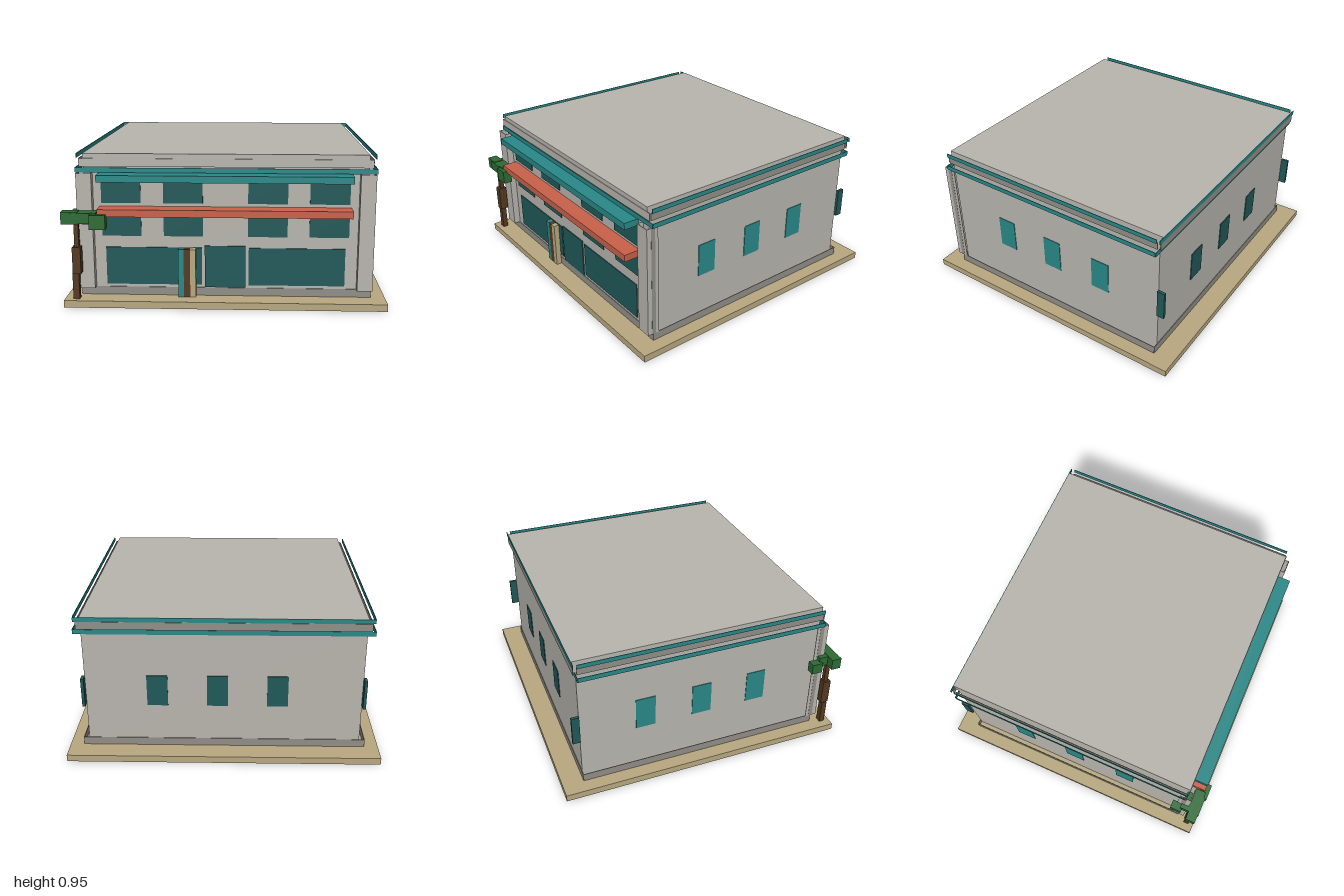
import * as THREE from 'three';

const mat = (name, color) => {
  const m = new THREE.MeshStandardMaterial({ color });
  m.name = name;
  return m;
};

export function createModel() {
  const root = new THREE.Group();
  const M = {
    wall: mat('wall grey', 0xb8b5ae),
    stone: mat('dark grey', 0x918e88),
    teal: mat('teal trim', 0x298888),
    glass: mat('dark glass', 0x205858),
    sand: mat('sand', 0xb8a880),
    clay: mat('clay red', 0xc8614a),
    bark: mat('bark brown', 0x553a22),
    leaf: mat('leaf green', 0x2c6c34),
  };

  // Box given by its extents on each axis
  const box = (name, m, x0, x1, y0, y1, z0, z1, parent = root) => {
    const mesh = new THREE.Mesh(new THREE.BoxGeometry(x1 - x0, y1 - y0, z1 - z0), m);
    mesh.position.set((x0 + x1) / 2, (y0 + y1) / 2, (z0 + z1) / 2);
    mesh.name = name;
    parent.add(mesh);
    return mesh;
  };
  const T = 0.004; // plate thickness

  // Ground slab, walls and roof block
  box('slab', M.sand, -1, 1, 0, 0.045, -0.95, 0.95);
  box('walls', M.wall, -0.875, 0.875, 0.045, 0.87, -0.81, 0.815);
  box('roof', M.wall, -0.875, 0.875, 0.87, 0.95, -0.83, 0.825);

  // Thin bands standing clear of the side walls
  const band = (name, m, x, y0, y1, front, back, mFront = m) => {
    const g = new THREE.Group();
    g.name = name;
    for (const s of [-1, 1]) box(name + 'Side', m, s * x - T / 2, s * x + T / 2, y0, y1, -0.81, 0.82, g);
    if (front) box(name + 'Front', mFront, -x, x, y0, y1, front - T, front, g);
    if (back) box(name + 'Back', m, -x, x, y0, y1, back, back + T, g);
    root.add(g);
  };
  band('plinth', M.stone, 0.91, 0.045, 0.097, 0.821, -0.814);
  band('lowerCornice', M.teal, 0.925, 0.832, 0.862, 0.826, -0.815);
  band('parapetBand', M.stone, 0.9, 0.87, 0.92, 0.829, -0.832, M.wall);
  band('upperCornice', M.teal, 0.915, 0.922, 0.95, 0, -0.834);

  // Corner pilasters made of thin plates, and corner shutters
  for (const s of [-1, 1]) {
    const g = new THREE.Group();
    g.name = 'pilaster';
    const span = (name, m, a, b, y0, y1, z0, z1) =>
      box(name, m, Math.min(s * a, s * b), Math.max(s * a, s * b), y0, y1, z0, z1, g);
    span('pilasterFront', M.wall, 0.82, 0.915, 0.097, 0.832, 0.856, 0.86);
    span('pilasterSide', M.wall, 0.911, 0.915, 0.097, 0.832, 0.78, 0.86);
    span('pilasterInner', M.wall, 0.82, 0.824, 0.097, 0.832, 0.815, 0.86);
    span('pilasterGroove', M.stone, 0.914, 0.916, 0.097, 0.832, 0.802, 0.83);
    root.add(g);
    span('cornerShutter', M.glass, 0.873, 0.892, 0.35, 0.545, -0.86, -0.81);
  }

  // Upper front windows in two rows
  for (const [y0, y1] of [[0.43, 0.58], [0.64, 0.795]])
    for (const [x0, x1] of [[-0.77, -0.525], [-0.385, -0.14], [0.14, 0.385], [0.52, 0.765]])
      box('frontWindow', M.glass, x0, x1, y0, y1, 0.814, 0.82);

  // Shop windows and door
  box('shopWindow', M.glass, -0.75, -0.148, 0.115, 0.357, 0.814, 0.82);
  box('shopWindow', M.glass, 0.145, 0.745, 0.115, 0.357, 0.814, 0.82);
  box('door', M.glass, -0.13, 0.125, 0.1, 0.37, 0.816, 0.823);

  // Three-coloured post beside the door
  box('postTeal', M.teal, -0.295, -0.26, 0.045, 0.355, 0.822, 0.858);
  box('postBrown', M.bark, -0.26, -0.22, 0.045, 0.355, 0.822, 0.858);
  box('postSand', M.sand, -0.22, -0.185, 0.045, 0.355, 0.822, 0.858);

  // Awning and ledge across the front
  box('awning', M.teal, -0.78, 0.775, 0.787, 0.83, 0.815, 0.915);
  box('ledge', M.clay, -0.78, 0.775, 0.575, 0.62, 0.815, 0.92);

  // Side and back windows
  for (const z of [0.38, 0, -0.38])
    for (const s of [-1, 1])
      box('sideWindow', M.teal, s * 0.876 - 0.003, s * 0.876 + 0.003, 0.34, 0.56, z - 0.065, z + 0.065);
  for (const x of [-0.34, 0.04, 0.42])
    box('backWindow', M.glass, x - 0.066, x + 0.066, 0.34, 0.55, -0.815, -0.809);

  // Tree at the front corner
  const tree = new THREE.Group();
  tree.name = 'tree';
  root.add(tree);
  box('trunkBase', M.bark, -0.947, -0.907, 0.045, 0.21, 0.88, 0.915, tree);
  box('trunkMiddle', M.bark, -0.942, -0.89, 0.21, 0.38, 0.87, 0.925, tree);
  box('trunkTop', M.bark, -0.928, -0.9, 0.38, 0.54, 0.88, 0.91, tree);
  const leaves = [
    [-1, -0.9, 0.53, 0.605, 0.87, 0.935],
    [-0.945, -0.82, 0.535, 0.6, 0.81, 0.94],
    [-0.965, -0.91, 0.5, 0.57, 0.75, 0.825],
    [-0.825, -0.725, 0.5, 0.59, 0.89, 0.95],
    [-0.87, -0.785, 0.53, 0.6, 0.85, 0.93],
  ];
  for (const l of leaves) box('foliage', M.leaf, ...l, tree);

  return root;
}
